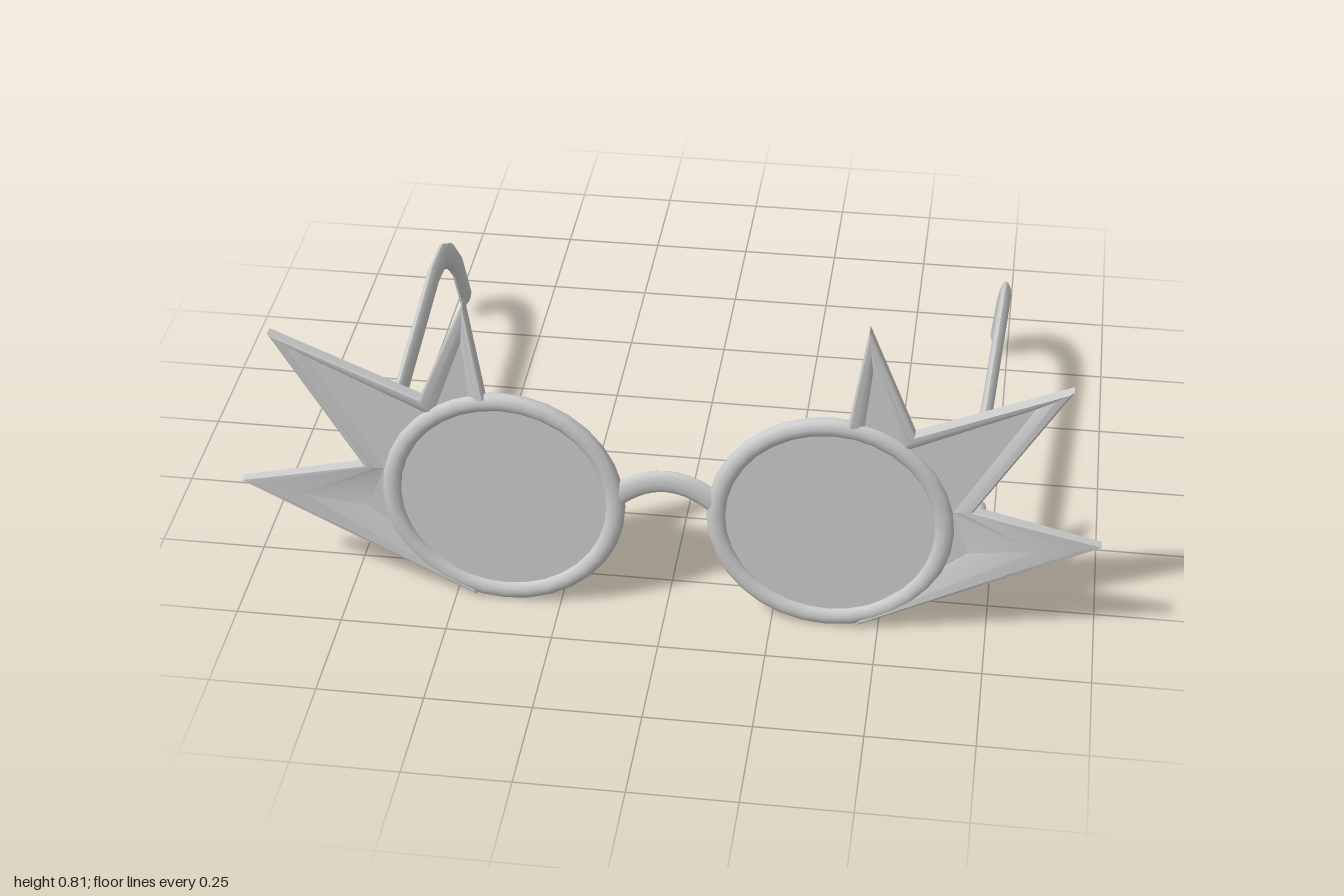
import * as THREE from 'three';
import { mergeVertices, toCreasedNormals } from 'three/addons/utils/BufferGeometryUtils.js';

const V = (x, y, z) => new THREE.Vector3(x, y, z);

// Welds, optionally mirrors, turns faces outward and smooths all but sharp edges.
function finish(source, mirror = false, crease = 0.7) {
  let g = source.clone();
  g.deleteAttribute('uv');
  g.deleteAttribute('normal');
  g = mergeVertices(g, 1e-5);
  if (mirror) g.scale(-1, 1, 1);
  const p = g.attributes.position, ix = g.index.array;
  const at = (i) => V().fromBufferAttribute(p, ix[i]);
  let volume = 0;
  for (let i = 0; i < ix.length; i += 3) volume += at(i).dot(at(i + 1).cross(at(i + 2)));
  if (volume < 0) {
    for (let i = 0; i < ix.length; i += 3) [ix[i], ix[i + 1]] = [ix[i + 1], ix[i]];
  }
  return toCreasedNormals(g, crease);
}

// Skin over equal-sized rings of points, with both ends capped.
function loft(rings) {
  const n = rings[0].length, last = (rings.length - 1) * n, index = [];
  for (let r = 0; r < last; r += n) {
    for (let j = 0; j < n; j++) {
      const k = (j + 1) % n;
      index.push(r + j, r + k, r + n + j, r + k, r + n + k, r + n + j);
    }
  }
  for (let j = 1; j < n - 1; j++) index.push(0, j + 1, j, last, last + j, last + j + 1);
  const g = new THREE.BufferGeometry().setFromPoints(rings.flat());
  g.setIndex(index);
  return g;
}

// Elliptical bar along a path; "side" is the axis across the bend.
function bar(path, side, halfSide, halfBend, sides = 12) {
  return loft(path.map((c, i) => {
    const dir = path[Math.min(i + 1, path.length - 1)].clone().sub(path[Math.max(i - 1, 0)]).normalize();
    const up = dir.clone().cross(side).normalize();
    return Array.from({ length: sides }, (_, j) => {
      const a = (j / sides) * Math.PI * 2;
      return c.clone().addScaledVector(side, Math.cos(a) * halfSide).addScaledVector(up, Math.sin(a) * halfBend);
    });
  }));
}

export function createModel() {
  const model = new THREE.Group();
  model.name = 'spikedGlasses';
  const grey = new THREE.MeshStandardMaterial({ color: 0xcccccc });
  grey.name = 'light grey';

  // Front frame leans back slightly
  const front = new THREE.Group();
  front.name = 'frontFrame';
  front.position.z = 0.612;
  front.rotation.x = -0.032;
  model.add(front);

  const add = (parent, name, geometry, mirror, crease) => {
    const mesh = new THREE.Mesh(finish(geometry, mirror, crease), grey);
    mesh.name = name;
    parent.add(mesh);
  };

  const cx = 0.38, cy = 0.292;

  // Round rim and lens
  const rim = new THREE.TorusGeometry(0.263, 0.023, 12, 32);
  rim.scale(1, 1, 0.7);
  rim.translate(cx, cy, 0);
  const lens = new THREE.CylinderGeometry(0.252, 0.252, 0.008, 32);
  lens.rotateX(Math.PI / 2);
  lens.translate(cx, cy, 0);

  // Spike border: outer point, then inner point, around the outline
  const outline = [
    [0.415, 0.565, 0.45, 0.55],
    [0.455, 0.82, 0.465, 0.71],
    [0.565, 0.555, 0.538, 0.505],
    [0.91, 0.70, 0.83, 0.645],
    [0.705, 0.36, 0.66, 0.35],
    [1.0, 0.29, 0.70, 0.24],
    [0.45, 0.015, 0.47, 0.06],
  ];
  const section = [[0, 0.012], [0.12, 0.015], [0.5, 0.013], [1, 0.004]];
  const profile = [...section, ...section.map(([t, z]) => [t, -z]).reverse()];
  const border = loft(outline.map(([px, py, qx, qy]) =>
    profile.map(([t, z]) => V(px + (qx - px) * t, py + (qy - py) * t, z))));

  // Thin web filling the space between border and rim
  const webPoints = outline.map(([, , x, y]) => new THREE.Vector2(x, y));
  for (let i = 0; i <= 10; i++) {
    const a = -1.15 + (2.43 * i) / 10;
    webPoints.push(new THREE.Vector2(cx + Math.cos(a) * 0.25, cy + Math.sin(a) * 0.25));
  }
  const web = new THREE.ExtrudeGeometry(new THREE.Shape(webPoints), { depth: 0.007, bevelEnabled: false });
  web.translate(0, 0, -0.0035);

  // Hinge block: rounded slab facing backwards
  const hingeShape = new THREE.Shape();
  hingeShape.moveTo(-0.02, -0.062).lineTo(0.02, -0.062).quadraticCurveTo(0.034, -0.062, 0.034, -0.045)
    .lineTo(0.034, 0.045).quadraticCurveTo(0.034, 0.062, 0.02, 0.062).lineTo(-0.02, 0.062)
    .quadraticCurveTo(-0.034, 0.062, -0.034, 0.045).lineTo(-0.034, -0.045)
    .quadraticCurveTo(-0.034, -0.062, -0.02, -0.062);
  const hinge = new THREE.ExtrudeGeometry(hingeShape, {
    depth: 0.055, bevelSize: 0.004, bevelOffset: -0.004, bevelThickness: 0.004, bevelSegments: 2, curveSegments: 4,
  });
  hinge.translate(0.698, 0.273, 0.534);

  // Temple arm with hooked end
  const temple = bar([
    V(0.695, 0.279, 0.54), V(0.733, 0.305, -0.3), V(0.737, 0.285, -0.425), V(0.735, 0.238, -0.505),
    V(0.728, 0.175, -0.555), V(0.718, 0.058, -0.591),
  ], V(1, 0, 0), 0.015, 0.035);

  for (const [side, mirror] of [['left', false], ['right', true]]) {
    add(front, side + 'Rim', rim, mirror, 1);
    add(front, side + 'Lens', lens, mirror);
    add(front, side + 'SpikeBorder', border, mirror, 0.6);
    add(front, side + 'SpikeWeb', web, mirror);
    add(model, side + 'Hinge', hinge, mirror);
    add(model, side + 'Temple', temple, mirror, 0.9);
  }

  // Arched nose bridge
  const arch = [];
  for (let i = 0; i <= 12; i++) {
    const x = -0.115 + (0.23 * i) / 12;
    arch.push(V(x, 0.371 - 3.6 * x * x, 0));
  }
  add(front, 'bridge', bar(arch, V(0, 0, 1), 0.013, 0.029), false, 0.9);

  return model;
}
